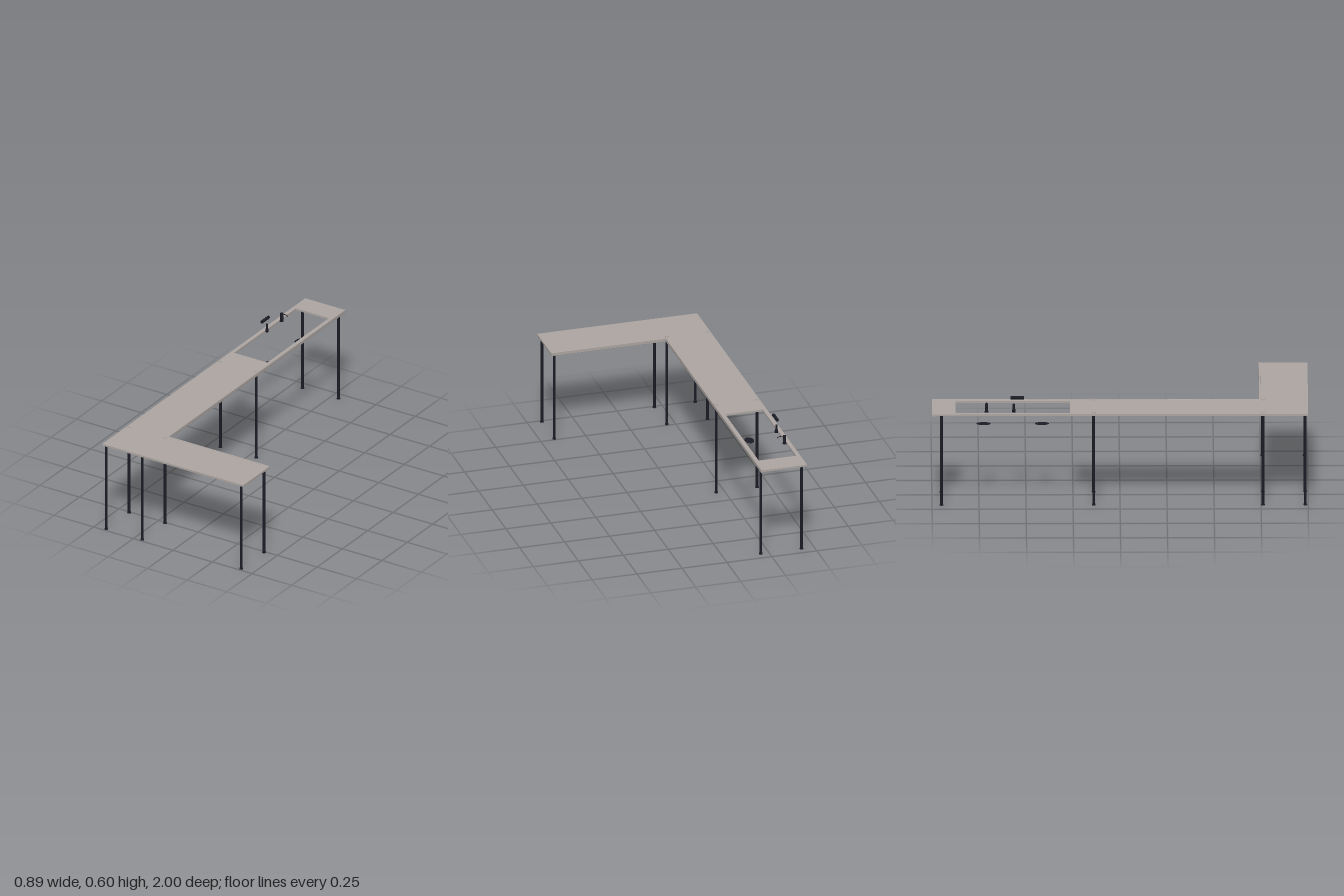
import * as THREE from 'three';

const stone = new THREE.MeshStandardMaterial({ color: 0xaca5a1 });
stone.name = 'warm grey stone';
const metal = new THREE.MeshStandardMaterial({ color: 0x1b1b26 });
metal.name = 'dark metal';

const X0 = -0.445, X1 = 0.445, INNER_X = -0.19, INNER_Z = 0.74;

// Closed path from plan points given as [x, z]
function planPath(points, PathType = THREE.Shape) {
  const path = new PathType();
  points.forEach(([x, z], i) => (i ? path.lineTo(x, -z) : path.moveTo(x, -z)));
  path.closePath();
  return path;
}

// Plan outline raised from y = bottom to y = top, with an optional bevel
function slab(shape, bottom, top, bevel = 0) {
  const geometry = new THREE.ExtrudeGeometry(shape, {
    depth: top - bottom - 2 * bevel, bevelEnabled: bevel > 0,
    bevelSize: bevel, bevelThickness: bevel, bevelOffset: -bevel, bevelSegments: 2,
  });
  geometry.rotateX(-Math.PI / 2);
  geometry.translate(0, bottom + bevel, 0);
  return geometry;
}

function add(parent, name, geometry, material, x = 0, y = 0, z = 0) {
  const mesh = new THREE.Mesh(geometry, material);
  mesh.name = name;
  mesh.position.set(x, y, z);
  parent.add(mesh);
  return mesh;
}

function lathe(points, segments = 20) {
  return new THREE.LatheGeometry(points.map(([r, y]) => new THREE.Vector2(r, y)), segments);
}

export function createModel() {
  const model = new THREE.Group();
  model.name = 'cornerCounter';

  // L-shaped worktop with the sink cut-out
  const top = planPath([[X0, 1], [X1, 1], [X1, INNER_Z], [INNER_X, INNER_Z], [INNER_X, -1], [X0, -1]]);
  top.holes.push(planPath([[-0.423, -0.875], [-0.215, -0.875], [-0.215, -0.265], [-0.423, -0.265]], THREE.Path));
  add(model, 'worktop', slab(top, 0.502, 0.513), stone);

  // Rounded lip along the two inner edges
  const w = 0.008;
  const lip = planPath([
    [X1, INNER_Z], [INNER_X, INNER_Z], [INNER_X, -1],
    [INNER_X - w, -1], [INNER_X - w, INNER_Z + w], [X1, INNER_Z + w],
  ]);
  add(model, 'innerLip', slab(lip, 0.496, 0.516, 0.002), stone);

  // Legs with feet; the inner pairs end in caps on the worktop
  const legGeometry = new THREE.CylinderGeometry(0.0075, 0.0075, 0.497, 16);
  const footGeometry = new THREE.CylinderGeometry(0.0085, 0.0105, 0.007, 16);
  const capGeometry = new THREE.CylinderGeometry(0.008, 0.009, 0.006, 16);
  const legs = [[0.422, 0.985], [0.422, 0.76]];
  for (const z of [0.985, 0.76, -0.14, -0.95]) legs.push([-0.43, z], [-0.203, z]);
  for (const [x, z] of legs) {
    const leg = new THREE.Group();
    leg.name = 'leg';
    leg.position.set(x, 0, z);
    add(leg, 'legTube', legGeometry, metal, 0, 0.2545);
    add(leg, 'foot', footGeometry, metal, 0, 0.0035);
    if (x < 0 && (z === 0.76 || z === -0.14)) add(leg, 'legCap', capGeometry, stone, 0, 0.516);
    model.add(leg);
  }

  // Tap with a drooping spout
  const tap = new THREE.Group();
  tap.name = 'tap';
  tap.position.set(-0.408, 0.513, -0.71);
  add(tap, 'tapBody', lathe([[0, 0], [0.011, 0], [0.011, 0.003], [0.0085, 0.004], [0.0085, 0.047], [0, 0.049]]), metal);
  const spout = new THREE.CatmullRomCurve3([[0, 0.044, 0], [0.022, 0.0445, 0], [0.033, 0.042, 0], [0.041, 0.037, 0]]
    .map((p) => new THREE.Vector3(...p)));
  add(tap, 'spout', new THREE.TubeGeometry(spout, 12, 0.0022, 8), metal);
  model.add(tap);

  // Control post with a floating bar handle above it
  add(model, 'controlPost', lathe([[0, 0], [0.009, 0], [0.009, 0.012], [0.006, 0.02], [0.006, 0.045], [0, 0.047]]),
    metal, -0.408, 0.513, -0.565);
  const bar = add(model, 'barHandle', new THREE.CylinderGeometry(0.0085, 0.0085, 0.07, 20), metal, -0.408, 0.593, -0.547);
  bar.rotation.x = Math.PI / 2;

  // Oval drains hanging under the cut-out
  const drainGeometry = lathe([[0, -0.004], [0.008, -0.003], [0.025, -0.0005], [0.025, 0.0005], [0.008, 0.002], [0, 0.003]], 28);
  drainGeometry.scale(1, 1, 1.5);
  for (const z of [-0.725, -0.415]) add(model, 'drain', drainGeometry, metal, -0.303, 0.415, z);

  return model;
}
